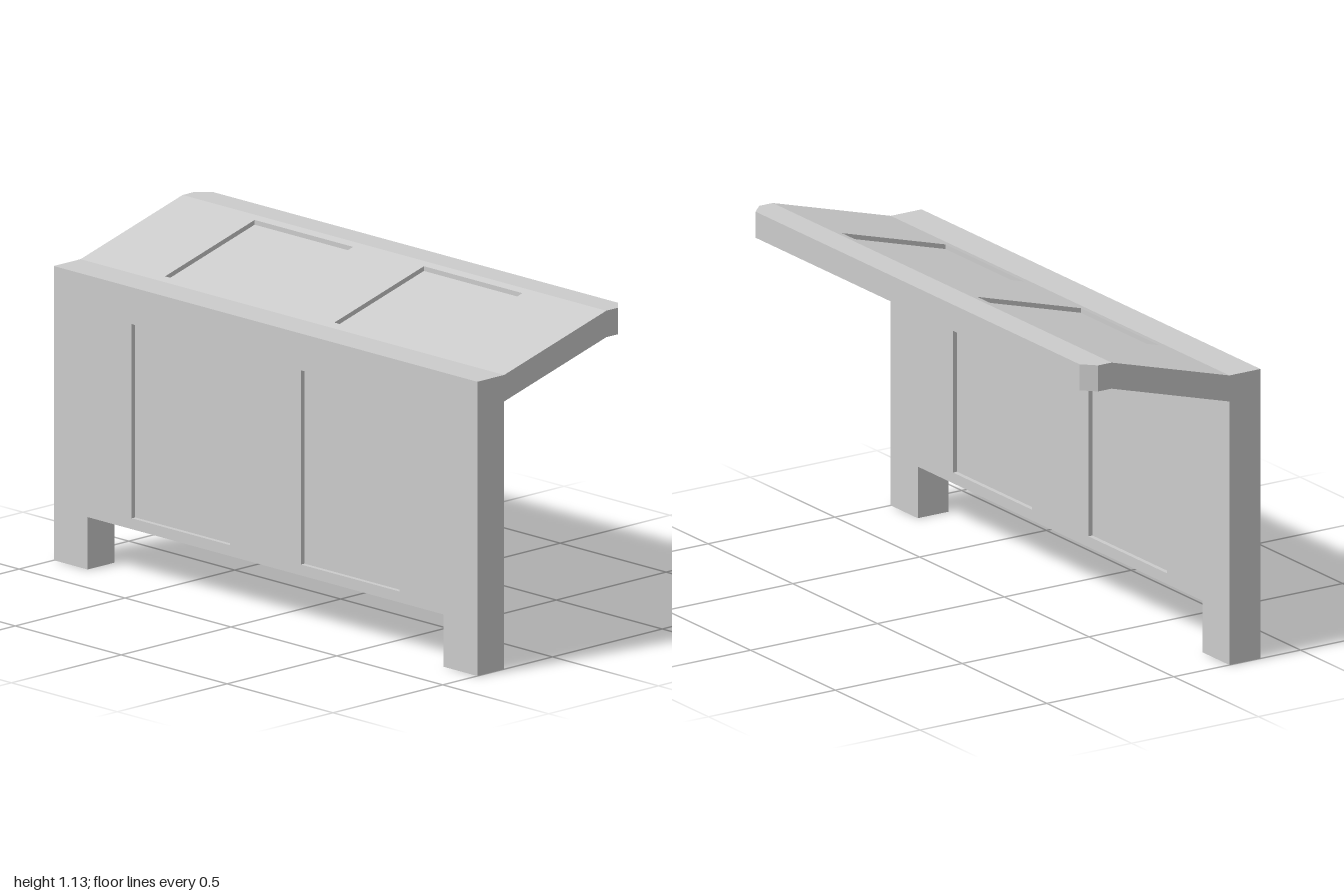
import * as THREE from 'three';

const material = new THREE.MeshStandardMaterial({ color: 0xcccccc, flatShading: true });

// Opening and pane limits along z, mirrored for the second bay
const Z0 = 0.167, Z1 = 0.632;
const RECESS = 0.016;
const BACK = -0.342, WALL = 0.122, INNER = BACK + WALL;
const BEND = 0.245, EDGE = 0.342;
const ROOF_T = 0.09, ROOF_LOW = 0.91, RISE = 0.13;

const shapeOf = (pts) => new THREE.Shape(pts.map(([a, b]) => new THREE.Vector2(a, b)));
const rect = (a0, b0, a1, b1) => [[a0, b0], [a1, b0], [a1, b1], [a0, b1]];

function extrude(pts, holes, depth) {
  const shape = shapeOf(pts);
  for (const h of holes) shape.holes.push(new THREE.Path(shapeOf(h).getPoints()));
  return new THREE.ExtrudeGeometry(shape, { depth, bevelEnabled: false });
}

// Drawn in (z, y), thickness runs along +x from x0
function upright(pts, holes, x0, depth) {
  return extrude(pts, holes, depth).rotateY(Math.PI / 2).translate(x0, 0, 0);
}

// Drawn in (x, z), thickness runs up from y0
function flat(pts, holes, y0, depth) {
  return extrude(pts, holes, depth).rotateX(-Math.PI / 2).translate(0, y0, 0);
}

// Tilts a flat slab so it climbs from the wall to the front edge
function slope(geometry) {
  const p = geometry.attributes.position;
  for (let i = 0; i < p.count; i++) {
    p.setY(i, p.getY(i) + RISE * (p.getX(i) - INNER) / (BEND - INNER));
  }
  geometry.computeVertexNormals();
  return geometry;
}

export function createModel() {
  const model = new THREE.Group();
  model.name = 'shelter';
  const add = (name, geometry) => {
    const mesh = new THREE.Mesh(geometry, material);
    mesh.name = name;
    model.add(mesh);
  };

  const bays = [[Z0, Z1], [-Z1, -Z0]];
  const wallPanes = bays.map(([a, b]) => rect(a, 0.215, b, 0.875));
  const roofPanes = bays.map(([a, b]) => rect(-0.19, a, 0.218, b));

  // Back wall standing on two feet
  add('backWall', upright(
    [[-1, 0], [-0.84, 0], [-0.84, 0.178], [0.84, 0.178], [0.84, 0], [1, 0], [1, 1], [-1, 1]],
    wallPanes, BACK, WALL));

  // Sloping roof
  add('roof', slope(flat(rect(INNER, -1, BEND, 1), roofPanes, ROOF_LOW, ROOF_T)));

  // Level front edge with clipped corners
  add('roofEdge', flat(
    [[BEND, -1], [0.298, -1], [EDGE, -0.956], [EDGE, 0.956], [0.298, 1], [BEND, 1]],
    [], ROOF_LOW + RISE, ROOF_T));

  // Panes set back from both faces
  wallPanes.forEach((p) => add('wallPane', upright(p, [], BACK + RECESS, WALL - 2 * RECESS)));
  roofPanes.forEach((p) => add('roofPane', slope(flat(p, [], ROOF_LOW + RECESS, ROOF_T - 2 * RECESS))));

  return model;
}
